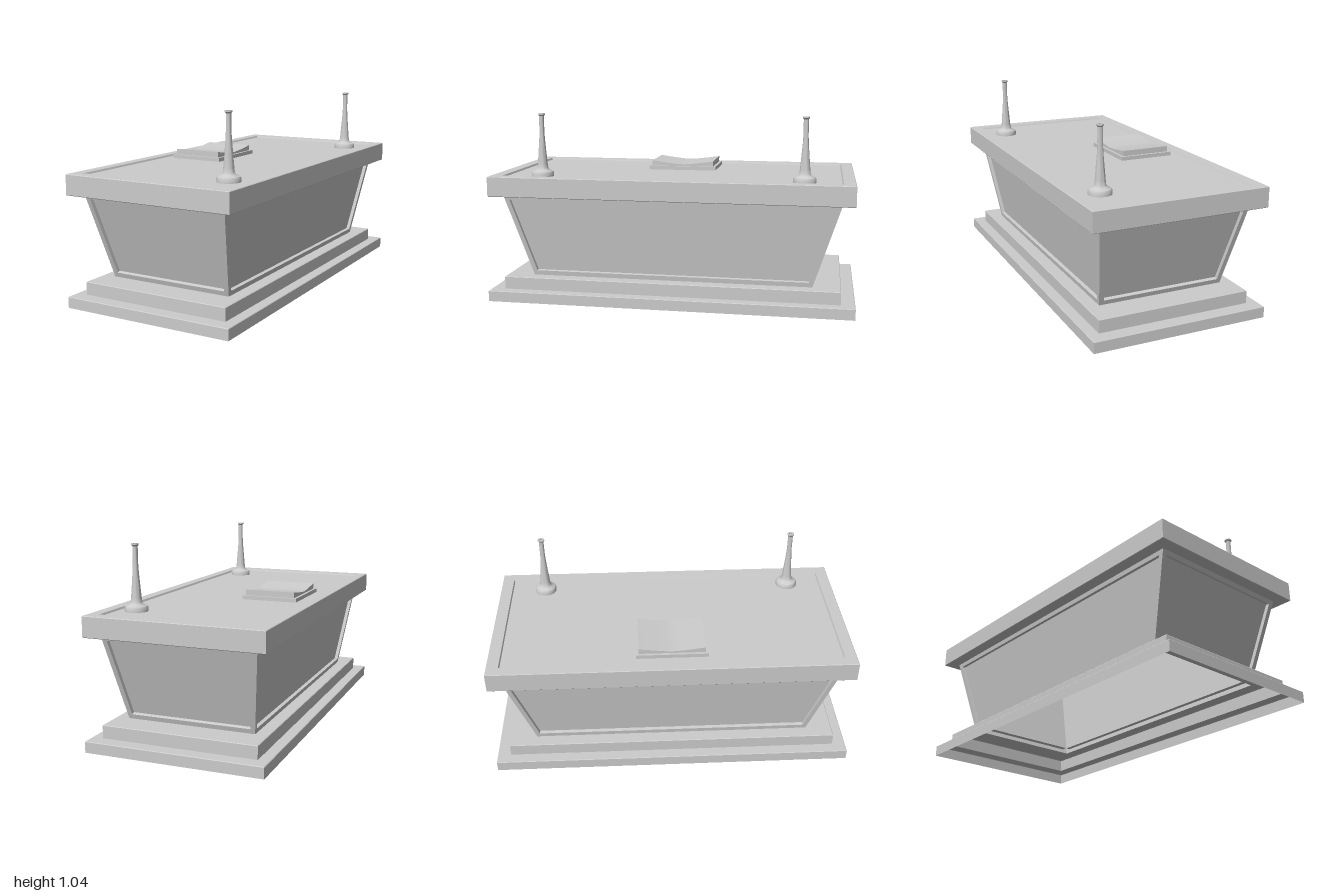
import * as THREE from 'three';
import { toCreasedNormals } from 'three/addons/utils/BufferGeometryUtils.js';

const material = new THREE.MeshStandardMaterial({ color: 0xcccccc, side: THREE.DoubleSide });

function add(parent, name, geometry, x = 0, y = 0, z = 0) {
  const mesh = new THREE.Mesh(geometry, material);
  mesh.name = name;
  mesh.position.set(x, y, z);
  parent.add(mesh);
  return mesh;
}

// Rectangular loop of four corners at height y
const rect = (x, z, y) => [[x, z], [x, -z], [-x, -z], [-x, z]].map(([a, b]) => new THREE.Vector3(a, y, b));

// Flat-faced skin over successive four-corner loops, optionally closed at the last one
function loft(loops, cap = false) {
  const points = [];
  for (let k = 0; k < loops.length - 1; k++) {
    const a = loops[k], b = loops[k + 1];
    for (let i = 0; i < 4; i++) {
      const j = (i + 1) % 4;
      points.push(a[i], a[j], b[j], a[i], b[j], b[i]);
    }
  }
  if (cap) {
    const e = loops[loops.length - 1];
    points.push(e[0], e[1], e[2], e[0], e[2], e[3]);
  }
  const geometry = new THREE.BufferGeometry().setFromPoints(points);
  geometry.computeVertexNormals();
  return geometry;
}

// Side wall with a sunken panel
function panelWall(bl, br, tr, tl) {
  const normal = br.clone().sub(bl).cross(tl.clone().sub(bl)).normalize();
  const at = (v, side) => {
    const l = bl.clone().lerp(tl, v), r = br.clone().lerp(tr, v);
    return l.lerp(r, side ? 1 - 0.026 / l.distanceTo(r) : 0.026 / l.distanceTo(r));
  };
  const hole = [at(0.055, 0), at(0.055, 1), at(0.95, 1), at(0.95, 0)];
  const sunk = hole.map((p) => p.clone().addScaledVector(normal, -0.02));
  return loft([[bl, br, tr, tl], hole, sunk], true);
}

export function createModel() {
  const model = new THREE.Group();
  model.name = 'altar';

  // Stepped plinth, hollow underneath
  add(model, 'plinth', loft([
    rect(0.48, 1, 0), rect(0.48, 1, 0.057), rect(0.477, 0.997, 0.06),
    rect(0.42, 0.925, 0.06), rect(0.42, 0.925, 0.127), rect(0.417, 0.922, 0.13), rect(0.35, 0.775, 0.13),
  ]));

  // Flared body with four panelled walls
  const body = new THREE.Group();
  body.name = 'body';
  model.add(body);
  const low = rect(0.35, 0.775, 0.13), high = rect(0.415, 0.92, 0.59);
  ['leftWall', 'backWall', 'rightWall', 'frontWall'].forEach((name, i) => {
    const j = (i + 1) % 4;
    add(body, name, panelWall(low[i], low[j], high[j], high[i]));
  });

  // Table top with a raised rim
  add(model, 'tableTop', loft([
    rect(0.415, 0.92, 0.59), rect(0.477, 0.982, 0.59), rect(0.48, 0.985, 0.593),
    rect(0.48, 0.985, 0.697), rect(0.477, 0.982, 0.7),
    rect(0.42, 0.92, 0.7), rect(0.415, 0.915, 0.69),
  ], true));

  // Pair of turned candlesticks
  const profile = [
    [0.061, 0.69], [0.061, 0.708], [0.056, 0.717], [0.036, 0.727], [0.03, 0.736], [0.027, 0.76], [0.021, 0.83],
    [0.016, 0.89], [0.0135, 0.94], [0.0135, 1.022], [0.019, 1.029], [0.019, 1.036], [0.01, 1.036], [0.01, 1.02], [0, 1.02],
  ].map(([r, y]) => new THREE.Vector2(r, y));
  for (const [name, z] of [['frontCandlestick', 0.72], ['backCandlestick', -0.72]]) {
    add(model, name, toCreasedNormals(new THREE.LatheGeometry(profile, 24), 0.6), 0.32, 0, z);
  }

  // Open book: cover slab and pages dipping to the spine
  const book = new THREE.Group();
  book.name = 'book';
  book.position.set(-0.21, 0.69, 0);
  model.add(book);
  add(book, 'bookCover', new THREE.BoxGeometry(0.31, 0.021, 0.39), 0, 0.0105, 0);
  const pages = new THREE.Shape();
  pages.moveTo(-0.18, 0.02);
  pages.lineTo(0.18, 0.02);
  pages.lineTo(0.18, 0.052);
  pages.quadraticCurveTo(0.06, 0.034, 0, 0.031);
  pages.quadraticCurveTo(-0.06, 0.034, -0.18, 0.052);
  const pageGeometry = new THREE.ExtrudeGeometry(pages, { depth: 0.28, bevelEnabled: false, curveSegments: 6 });
  pageGeometry.translate(0, 0, -0.14).rotateY(Math.PI / 2);
  add(book, 'bookPages', toCreasedNormals(pageGeometry, 0.6));

  return model;
}
